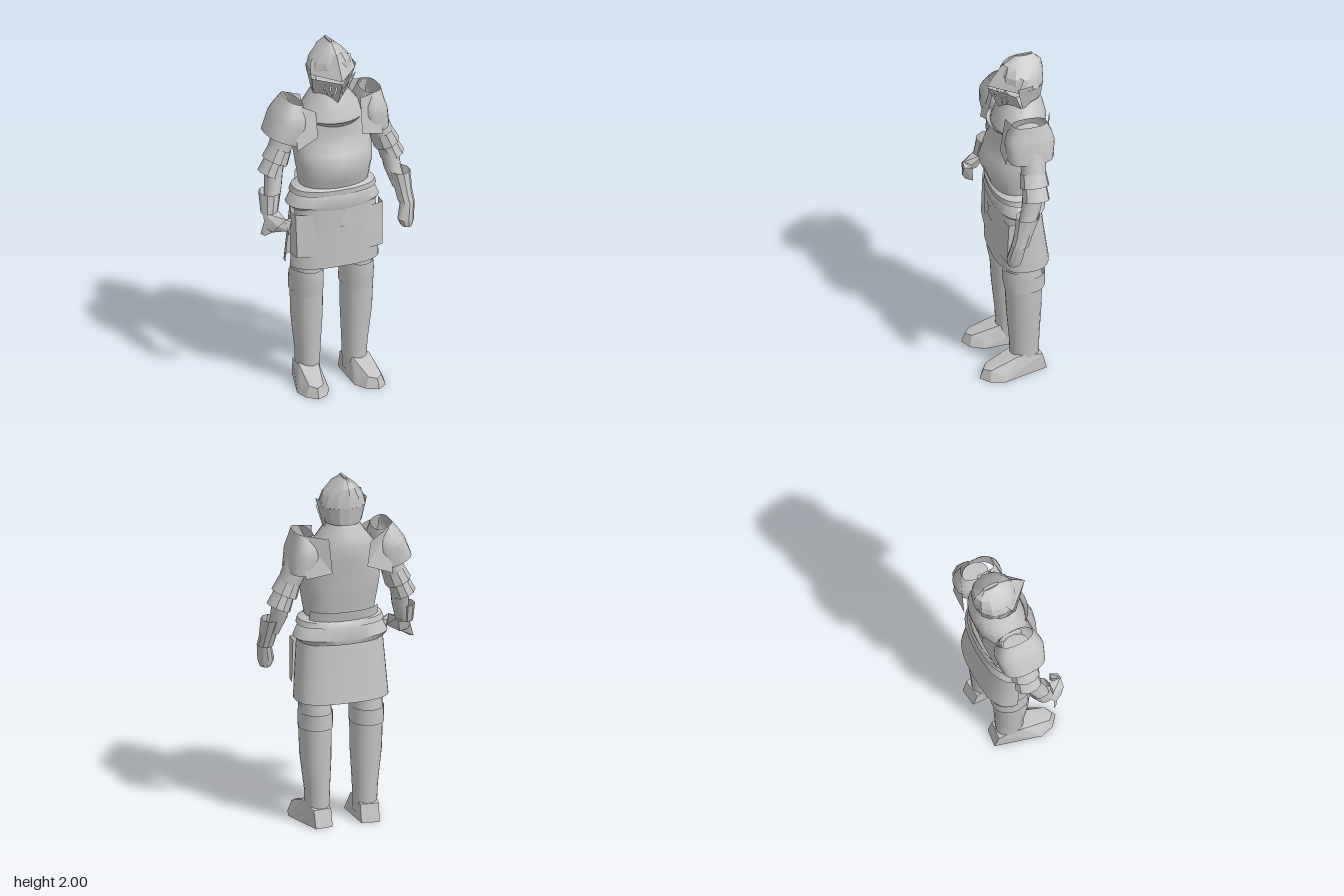
import * as THREE from 'three';
import { toCreasedNormals } from 'three/addons/utils/BufferGeometryUtils.js';
import { ConvexGeometry } from 'three/addons/geometries/ConvexGeometry.js';

const steel = new THREE.MeshStandardMaterial({ color: 0xc4c4c4, side: THREE.DoubleSide });
steel.name = 'steel';

function part(name, geometry, parent) {
  const mesh = new THREE.Mesh(geometry, steel);
  mesh.name = name;
  parent.add(mesh);
  return mesh;
}

// Skin over horizontal rings, bottom to top: [cx, y, cz, rx, rz, front keel].
function loft(rings, { n = 16, power = 2, start = 0, sweep = Math.PI * 2, top = false, bottom = false, crease = 0.6 } = {}) {
  const pos = [], idx = [], row = n + 1;
  for (const [cx, y, cz, rx, rz, keel = 0] of rings) {
    for (let j = 0; j <= n; j++) {
      const t = start + (sweep * j) / n, s = Math.sin(t), c = Math.cos(t);
      const x = Math.sign(s) * Math.abs(s) ** (2 / power);
      const z = Math.sign(c) * Math.abs(c) ** (2 / power);
      const ridge = c > 0 ? keel * (1 - Math.abs(x)) : 0;
      pos.push(cx + rx * x, y, cz + rz * z + ridge);
    }
  }
  for (let i = 0; i < rings.length - 1; i++) {
    for (let j = 0; j < n; j++) {
      const a = i * row + j, d = a + row;
      idx.push(a, a + 1, d + 1, a, d + 1, d);
    }
  }
  const cap = (ring, flip) => {
    const [cx, y, cz] = rings[ring], centre = pos.length / 3;
    pos.push(cx, y, cz);
    for (let j = 0; j < n; j++) {
      const a = ring * row + j;
      idx.push(centre, flip ? a + 1 : a, flip ? a : a + 1);
    }
  };
  if (top) cap(rings.length - 1, false);
  if (bottom) cap(0, true);
  const g = new THREE.BufferGeometry();
  g.setAttribute('position', new THREE.Float32BufferAttribute(pos, 3));
  g.setIndex(idx);
  return toCreasedNormals(g, crease);
}

// Unit-square outline, with holes, stretched over four corners: p00, p10, p11, p01.
const square = [[0, 0], [1, 0], [1, 1], [0, 1]];
function panel(corners, s, outline = square, holes = []) {
  const shape = new THREE.Shape(outline.map(p => new THREE.Vector2(...p)));
  for (const [u, v, w, h] of holes) {
    shape.holes.push(new THREE.Path([[u, v], [u, v + h], [u + w, v + h], [u + w, v]].map(p => new THREE.Vector2(...p))));
  }
  const g = new THREE.ShapeGeometry(shape), p = g.attributes.position;
  for (let i = 0; i < p.count; i++) {
    const u = p.getX(i), v = p.getY(i);
    const w = [(1 - u) * (1 - v), u * (1 - v), u * v, (1 - u) * v];
    const [x, y, z] = [0, 1, 2].map(k => w.reduce((sum, f, c) => sum + f * corners[c][k], 0));
    p.setXYZ(i, s * x, y, z);
  }
  const flat = g.toNonIndexed();
  flat.computeVertexNormals();
  return flat;
}
const hull = points => new ConvexGeometry(points.map(p => new THREE.Vector3(...p)));

function helmet(parent) {
  const head = new THREE.Group();
  head.name = 'helmet';
  parent.add(head);
  part('skullBack', loft([
    [0, 1.74, -0.085, 0.1, 0.1], [0, 1.84, -0.08, 0.13, 0.12],
  ], { n: 8, start: 1.3, sweep: Math.PI * 2 - 2.6, crease: 0.4 }), head);
  part('skullDome', loft([
    [0, 1.84, -0.08, 0.13, 0.12], [0, 1.9, -0.08, 0.112, 0.12], [0, 1.95, -0.085, 0.07, 0.105], [0, 1.995, -0.095, 0.012, 0.05],
  ], { n: 12, top: true, crease: 0.4 }), head);
  const comb = part('comb', new THREE.BoxGeometry(0.012, 0.012, 0.09), head);
  comb.position.set(0, 1.994, -0.095);
  const slots = [[0.14, 0.42, 0.04, 0.36], [0.34, 0.44, 0.04, 0.34], [0.54, 0.42, 0.04, 0.34], [0.25, 0.24, 0.05, 0.08], [0.44, 0.24, 0.05, 0.08]];
  for (const s of [-1, 1]) {
    part('visor', panel([[0, 1.825, 0.115], [0.132, 1.832, -0.03], [0.115, 1.905, -0.06], [0, 1.95, 0.03]], s), head);
    part('faceGuard', panel([[0, 1.675, 0.05], [0.105, 1.71, -0.05], [0.13, 1.815, -0.01], [0, 1.81, 0.112]], s, square, slots), head);
    part('jawStrap', panel([[0.1, 1.7, -0.06], [0.104, 1.74, -0.1], [0.13, 1.87, -0.11], [0.134, 1.86, -0.02]], s), head);
  }
}

function torso(parent) {
  part('cuirass', loft([
    [0, 1.16, -0.025, 0.19, 0.115], [0, 1.23, -0.02, 0.2, 0.128, 0.008], [0, 1.32, -0.02, 0.215, 0.148, 0.028],
    [0, 1.39, -0.035, 0.222, 0.142, 0.015], [0, 1.45, -0.05, 0.215, 0.135, 0.008], [0, 1.51, -0.057, 0.2, 0.14], [0, 1.575, -0.06, 0.165, 0.145],
  ], { n: 32, power: 2.3, crease: 0.9 }), parent);
  part('gorget', loft([
    [0, 1.56, -0.06, 0.19, 0.145], [0, 1.62, -0.072, 0.172, 0.14], [0, 1.68, -0.076, 0.125, 0.122], [0, 1.76, -0.08, 0.07, 0.085],
  ], { n: 20, top: true }), parent);
  // Turned-out edge at the neck of the breastplate
  part('neckRim', loft([[0, 1.545, -0.05, 0.16, 0.132], [0, 1.58, -0.04, 0.165, 0.152]],
    { n: 10, start: -0.85, sweep: 1.7 }), parent);
  // Flared rim and hip plates under the cuirass
  part('waistRim', loft([
    [0, 1.15, -0.035, 0.245, 0.145], [0, 1.18, -0.03, 0.235, 0.142], [0, 1.2, -0.03, 0.19, 0.12],
  ], { n: 24, power: 2.4 }), parent);
  part('hipPlate', loft([
    [0, 1.05, -0.04, 0.232, 0.138], [0, 1.08, -0.04, 0.265, 0.148], [0, 1.15, -0.035, 0.23, 0.138], [0, 1.17, -0.03, 0.2, 0.12],
  ], { n: 24, power: 2.4 }), parent);
  part('backFlare', loft([
    [0, 1.17, -0.03, 0.215, 0.135], [0, 1.24, -0.03, 0.21, 0.15],
  ], { n: 10, power: 2.4, start: 2, sweep: Math.PI * 2 - 4 }), parent);
  // Skirt with a slit down its right side
  part('skirt', loft([
    [0, 0.72, -0.052, 0.262, 0.153], [0, 0.9, -0.04, 0.25, 0.141], [0, 1.08, -0.03, 0.237, 0.13],
  ], { n: 36, power: 2.7, start: -1.4, sweep: Math.PI * 2 - 0.22 }), parent);
  for (const s of [-1, 1]) {
    part('tasset', panel([[0, 0.79, 0.112], [0.25, 0.8, 0.075], [0.255, 1.05, 0.065], [0, 1.03, 0.108]], s,
      [[0.42, 0], [1, 0], [1, 1], [0, 1], [0, 0.72], [0.35, 0.56]]), parent);
    part('tassetSide', panel([[0.25, 0.8, 0.075], [0.262, 0.8, 0], [0.258, 1.05, -0.01], [0.255, 1.05, 0.065]], s), parent);
  }
}

function arm(s, parent) {
  const left = s > 0, g = new THREE.Group();
  g.name = left ? 'leftArm' : 'rightArm';
  parent.add(g);
  // Boxy shoulder shell, open at the top, with plates reaching over chest and back
  const wide = left ? 0.086 : 0.1;
  const pauldron = part('pauldron', loft([
    [0, -0.11, 0, wide, 0.125], [0, 0, 0, wide, 0.138], [0, 0.05, 0, wide * 0.88, 0.125], [s * 0.015, 0.115, 0, 0.052, 0.095],
  ], { n: 24, power: 2.6, crease: 0.5 }), g);
  pauldron.position.set(s * (left ? 0.225 : 0.255), 1.58, -0.06);
  pauldron.rotation.z = left ? 0.12 : -0.38;
  const [innerTop, innerLow, outerLow] = left ? [1.68, 1.48, 1.46] : [1.64, 1.5, 1.44];
  part('chestWing', panel([[0.13, innerLow, 0.08], [0.25, outerLow, 0.08], [0.25, 1.7, 0.03], [0.13, innerTop, 0.05]], s), g);
  part('backWing', panel([[0.1, innerLow, -0.205], [0.25, outerLow, -0.195], [0.25, 1.7, -0.155], [0.12, innerTop, -0.205]], s), g);
  part('upperArm', loft([
    [s * 0.32, 1.36, -0.06, 0.063, 0.064], [s * 0.275, 1.46, -0.065, 0.073, 0.072], [s * 0.235, 1.6, -0.065, 0.062, 0.075],
  ], { top: true }), g);
  // Elbow plates, one lapping over the other
  for (const [y, x, r] of [[1.38, 0.312, 0.074], [1.305, 0.345, 0.068]]) {
    const cop = part('elbowPlate', loft([[0, -0.04, 0, r, r * 1.12], [0, 0.04, 0, r * 0.86, r]], { n: 10 }), g);
    cop.position.set(s * x, y, -0.058);
    cop.rotation.z = s * 0.4;
  }
  part('forearm', loft([
    [s * 0.375, 1.1, 0.01, 0.038, 0.045], [s * 0.35, 1.2, -0.03, 0.046, 0.052], [s * 0.338, 1.32, -0.05, 0.052, 0.06],
  ]), g);
  part('gauntletCuff', loft([
    [s * 0.402, 1.02, 0.045, 0.045, 0.05], [s * 0.394, 1.08, 0.025, 0.047, 0.052], [s * 0.38, 1.19, -0.005, 0.06, 0.068],
  ].slice(left ? 0 : 1), { n: 10, crease: 0.5 }), g);
  if (left) {
    part('openHand', loft([
      [0.39, 0.89, 0.075, 0.03, 0.035], [0.388, 0.93, 0.072, 0.046, 0.045], [0.405, 1.03, 0.052, 0.038, 0.042],
    ], { n: 10, bottom: true }), g);
  } else {
    part('palm', hull([
      [-0.435, 1.09, 0.04], [-0.355, 1.1, 0.02], [-0.35, 1.08, 0.06], [-0.44, 1.01, 0.07], [-0.41, 1.0, 0.12],
      [-0.39, 1.04, 0.145], [-0.345, 1.075, 0.15], [-0.335, 1.01, 0.155], [-0.38, 1.0, 0.06],
    ]), g);
    part('curledFingers', hull([
      [-0.35, 1.08, 0.15], [-0.335, 1.0, 0.157], [-0.315, 1.06, 0.15], [-0.295, 1.06, 0.11],
      [-0.3, 0.975, 0.105], [-0.33, 0.975, 0.14], [-0.325, 1.06, 0.105],
    ]), g);
    part('thumb', hull([
      [-0.44, 1.04, 0.06], [-0.4, 1.03, 0.1], [-0.455, 0.97, 0.05], [-0.44, 0.965, 0.075], [-0.385, 0.995, 0.1],
    ]), g);
  }
}

function leg(s, parent) {
  const g = new THREE.Group();
  g.name = s > 0 ? 'leftLeg' : 'rightLeg';
  parent.add(g);
  const x = s * 0.147;
  part('thigh', loft([[x, 0.62, -0.05, 0.082, 0.095], [x, 0.95, -0.04, 0.086, 0.1]], { top: true }), g);
  part('kneePlate', loft([
    [x, 0.54, -0.045, 0.088, 0.1], [x, 0.63, -0.045, 0.092, 0.108, 0.01], [x, 0.69, -0.045, 0.088, 0.1, 0.015],
  ], { n: 20, crease: 0.8 }), g);
  part('kneeBand', loft([[x, 0.56, -0.055, 0.095, 0.112], [x, 0.65, -0.055, 0.093, 0.112]],
    { n: 14, start: 0.9, sweep: Math.PI * 2 - 1.8 }), g);
  part('greave', loft([
    [s * 0.137, 0.04, -0.055, 0.064, 0.078], [s * 0.138, 0.2, -0.055, 0.07, 0.084],
    [s * 0.145, 0.4, -0.05, 0.087, 0.097], [x, 0.56, -0.048, 0.09, 0.103],
  ], { n: 20 }), g);
  // Pointed foot plate, turned slightly outward
  const points = [[0, 0, 0.265], [0, 0.055, 0.245]];
  for (const m of [-1, 1]) {
    points.push([m * 0.05, 0, -0.11], [m * 0.09, 0, 0.15], [m * 0.06, 0, 0.225], [m * 0.055, 0.125, 0.05],
      [m * 0.052, 0.1, -0.085], [m * 0.04, 0.062, 0.215], [m * 0.075, 0.035, 0.15]);
  }
  const foot = part('foot', hull(points), g);
  foot.position.set(s * 0.146, 0, -0.055);
  foot.rotation.y = s * 0.12;
}

export function createModel() {
  const model = new THREE.Group();
  model.name = 'armouredFigure';
  helmet(model);
  torso(model);
  for (const s of [-1, 1]) {
    arm(s, model);
    leg(s, model);
  }
  return model;
}
